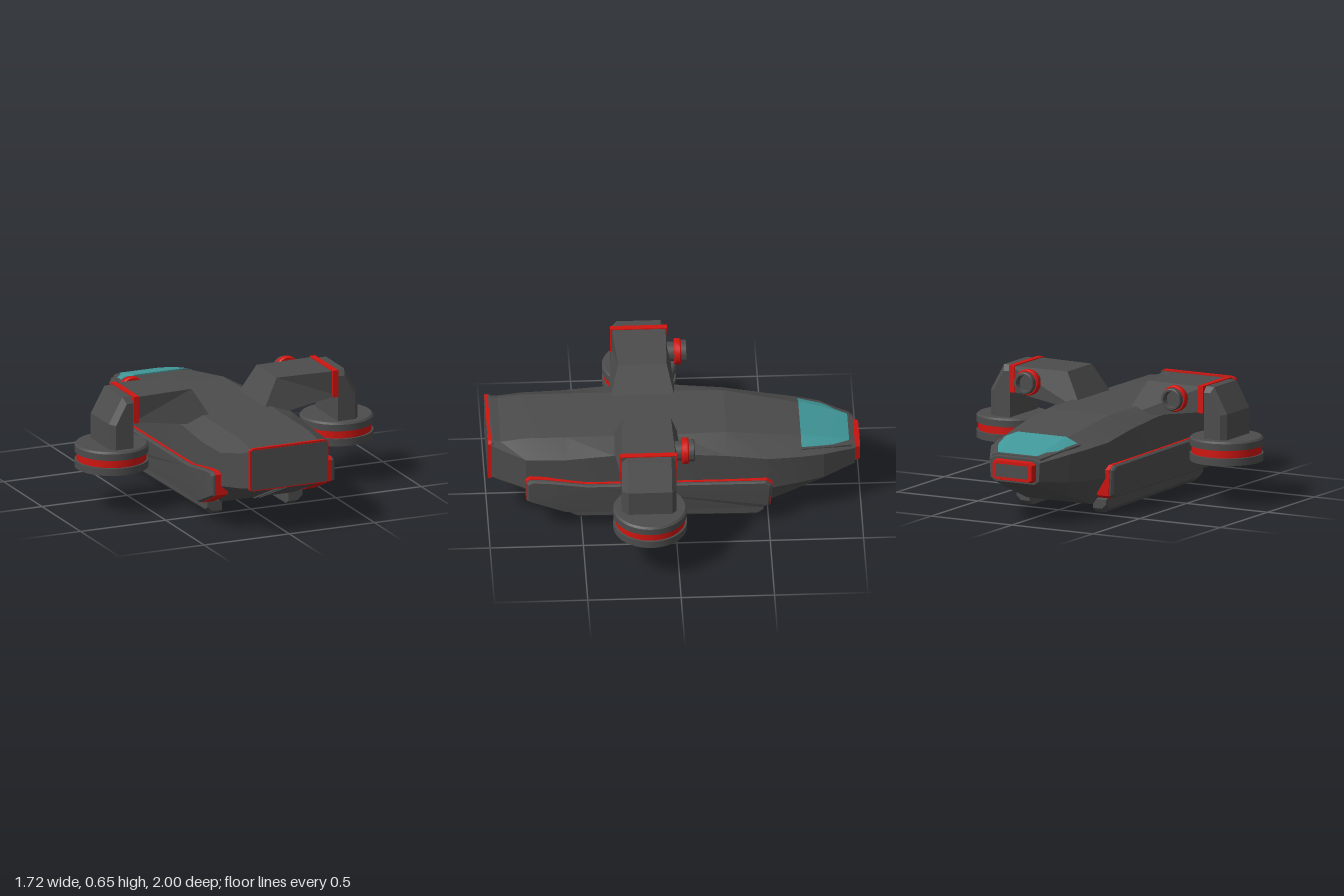
import * as THREE from 'three';
import { toCreasedNormals } from 'three/addons/utils/BufferGeometryUtils.js';

const dark = new THREE.MeshStandardMaterial({ color: 0x4c4c4c });
const red = new THREE.MeshStandardMaterial({ color: 0xd01510 });
const teal = new THREE.MeshStandardMaterial({ color: 0x41989a });

// Skin closed rings of [x, y, z] points, cap both ends, turn all faces outward
function loft(rings) {
  const tris = [], n = rings[0].length;
  for (let i = 0; i < rings.length - 1; i++) {
    for (let j = 0; j < n; j++) {
      const k = (j + 1) % n, a = rings[i], b = rings[i + 1];
      tris.push([a[j], a[k], b[k]], [a[j], b[k], b[j]]);
    }
  }
  const first = rings[0], last = rings[rings.length - 1];
  for (let j = 1; j < n - 1; j++) {
    tris.push([first[0], first[j + 1], first[j]], [last[0], last[j], last[j + 1]]);
  }
  const v = (p) => new THREE.Vector3(...p);
  const o = v(first[0]);
  let volume = 0;
  for (const [a, b, c] of tris) volume += v(a).sub(o).dot(v(b).sub(o).cross(v(c).sub(o)));
  if (volume < 0) tris.forEach((t) => t.reverse());
  const g = new THREE.BufferGeometry();
  g.setAttribute('position', new THREE.Float32BufferAttribute(tris.flat(2), 3));
  return toCreasedNormals(g, 0.15);
}

function add(parent, name, geometry, material, pos = [0, 0, 0]) {
  const m = new THREE.Mesh(geometry, material);
  m.name = name;
  m.position.set(...pos);
  parent.add(m);
  return m;
}

const box = (x0, x1, y0, y1, z0, z1) =>
  new THREE.BoxGeometry(x1 - x0, y1 - y0, z1 - z0).translate((x0 + x1) / 2, (y0 + y1) / 2, (z0 + z1) / 2);

const lathe = (pts) =>
  toCreasedNormals(new THREE.LatheGeometry(pts.map((p) => new THREE.Vector2(...p)), 40), 0.5);

// Hull stations: z, deck x y, shoulder x y, lower side x y, keel x y
const stations = [
  [0.98, 0.2, 0.49, 0.228, 0.478, 0.228, 0.275, 0.21, 0.268],
  [0.93, 0.2, 0.482, 0.25, 0.462, 0.25, 0.265, 0.22, 0.245],
  [0.8, 0.2, 0.5, 0.31, 0.435, 0.31, 0.25, 0.24, 0.19],
  [0.58, 0.2, 0.5, 0.32, 0.435, 0.32, 0.22, 0.21, 0.09],
  [0.33, 0.2, 0.5, 0.32, 0.455, 0.32, 0.2, 0.2, 0.08],
  [0, 0.2, 0.5, 0.32, 0.455, 0.315, 0.2, 0.2, 0.068],
  [-0.28, 0.19, 0.5, 0.315, 0.43, 0.31, 0.2, 0.2, 0.058],
  [-0.5, 0.17, 0.465, 0.305, 0.395, 0.3, 0.2, 0.2, 0.05],
  [-0.68, 0.15, 0.435, 0.275, 0.383, 0.265, 0.21, 0.18, 0.118],
  [-0.8, 0.14, 0.408, 0.245, 0.375, 0.235, 0.22, 0.165, 0.163],
  [-0.97, 0.11, 0.362, 0.155, 0.345, 0.15, 0.245, 0.12, 0.225],
];
// Symmetric ring from half a section
const mirrorRing = (z, half) => [
  ...half.map(([x, y]) => [x, y, z]),
  ...half.slice().reverse().map(([x, y]) => [-x, y, z]),
];
const stationRing = ([z, ...s]) => mirrorRing(z, [[s[0], s[1]], [s[2], s[3]], [s[4], s[5]], [s[6], s[7]]]);

function addFuselage(root) {
  add(root, 'hull', loft(stations.map(stationRing)), dark);

  // Stern plate with red edge
  add(root, 'sternTrim', loft([0.98, 0.998].map((z) =>
    mirrorRing(z, [[0.21, 0.5], [0.23, 0.488], [0.23, 0.268], [0.21, 0.262]]))), red);
  add(root, 'sternPlate', box(-0.222, 0.222, 0.268, 0.49, 0.97, 1), dark);
  for (const s of [-1, 1]) {
    const a = s * 0.012, b = s * 0.022;
    add(root, 'sternRib', loft([[0.96, 0.256], [0.58, 0.088]].map(([z, y]) =>
      [[a, y + 0.02, z], [b, y + 0.02, z], [b, y - 0.006, z], [a, y - 0.006, z]])), dark);
  }

  // Nose cap
  add(root, 'noseTrim', loft([
    mirrorRing(-0.965, [[0.11, 0.35], [0.132, 0.335], [0.132, 0.245], [0.11, 0.232]]),
    mirrorRing(-0.998, [[0.1, 0.343], [0.12, 0.33], [0.12, 0.252], [0.1, 0.24]]),
  ]), red);
  add(root, 'nosePlate', box(-0.1, 0.1, 0.256, 0.326, -1, -0.98), dark);

  // Canopy follows the hull's deck and shoulder slopes
  const canopy = [[-0.68, 0.225, 0.15, 0.435, 0.404], [-0.8, 0.195, 0.14, 0.408, 0.39], [-0.94, 0.138, 0.115, 0.37, 0.362]];
  const pane = (grow, lift) => loft(canopy.map(([z, xe, xd, yd, ye], i) => {
    const zz = z - (i === 2 ? grow : 0), e = xe + grow;
    const top = [[e, ye], [xd, yd], [-xd, yd], [-e, ye]];
    return [...top.map(([x, y]) => [x, y + lift, zz]), ...top.reverse().map(([x, y]) => [x, y - 0.02, zz])];
  }));
  add(root, 'canopyFrame', pane(0.012, 0.003), dark);
  add(root, 'canopy', pane(0, 0.007), teal);
}

// Side armour outline as [z, y]
const armour = [[0.48, 0.288], [0.7, 0.325], [0.78, 0.33], [0.8, 0.315], [0.8, 0.2], [0.77, 0.185], [0.6, 0.105],
  [0.56, 0.095], [-0.47, 0.085], [-0.51, 0.105], [-0.52, 0.25], [-0.49, 0.272]];
const armourRing = (x, inset) => armour.map(([z, y]) => {
  const zz = 0.14 + (z - 0.14) * (1 - inset), yy = 0.2 + (y - 0.2) * (1 - inset * 5);
  return [x + 0.012 * zz - Math.max(0, 0.14 - yy) * 0.4, yy, zz];
});

function buildSide() {
  const side = new THREE.Group();

  // Armour panel on a red backing strip
  add(side, 'armourTrim', loft([armourRing(0.26, 0), armourRing(0.332, 0)]), red);
  add(side, 'armourPanel', loft([armourRing(0.332, 0.004), armourRing(0.342, 0.006), armourRing(0.351, 0.022)]), dark);

  // Landing skid
  const skid = (z, y, t) => [[0.195, t, z], [0.195, y, z], [0.25, y, z], [0.278, y + 0.025, z], [0.278, t, z]];
  add(side, 'skid', loft([skid(0.555, 0.035, 0.09), skid(0.52, 0.015, 0.1), skid(-0.44, 0, 0.09), skid(-0.475, 0.025, 0.075)]), dark);

  // Arm: rings of top edge, then bottom edge
  const slab = (tx, ty, t0, t1, bx, by, b0, b1) => [[tx, ty, t0], [tx, ty, t1], [bx, by, b1], [bx, by, b0]];
  add(side, 'arm', loft([
    slab(0.25, 0.642, 0.02, 0.28, 0.13, 0.44, -0.03, 0.34),
    slab(0.6, 0.642, 0.01, 0.3, 0.6, 0.505, 0.01, 0.3),
  ]), dark);
  add(side, 'armBand', box(0.568, 0.6, 0.498, 0.647, 0.003, 0.307), red);

  // Elbow and strut with chamfered outer corners
  const elbow = (ox, oy, ix, iy) => {
    const mx = ox + (ix - ox) * 0.22, my = oy + (iy - oy) * 0.22;
    return [[ix, iy, 0.01], [mx, my, 0.01], [ox, oy, 0.035], [ox, oy, 0.27], [mx, my, 0.302], [ix, iy, 0.302]];
  };
  add(side, 'elbow', loft([
    elbow(0.6, 0.642, 0.6, 0.5), elbow(0.65, 0.642, 0.6, 0.5),
    elbow(0.73, 0.5, 0.6, 0.48), elbow(0.73, 0.35, 0.6, 0.35),
  ]), dark);

  // Lift disc, hollow below
  const hub = [0.66, 0, 0.15];
  add(side, 'liftDisc', lathe([[0, 0.262], [0.178, 0.262], [0.182, 0.23], [0.198, 0.23], [0.198, 0.27], [0.18, 0.272],
    [0.18, 0.312], [0.198, 0.314], [0.198, 0.35], [0.188, 0.36], [0, 0.36]]), dark, hub);
  add(side, 'liftDiscBand', lathe([[0.17, 0.271], [0.188, 0.271], [0.188, 0.313], [0.17, 0.313]]), red, hub);

  // Forward lamp
  const lampPos = [0.455, 0.575, 0];
  const lamp = [
    add(side, 'lamp', lathe([[0.052, -0.03], [0.052, 0.05], [0.06, 0.062], [0.06, 0.092], [0.055, 0.096],
      [0.045, 0.096], [0.04, 0.065], [0, 0.065]]), dark, lampPos),
    add(side, 'lampBand', lathe([[0.05, 0.028], [0.066, 0.028], [0.071, 0.034], [0.071, 0.058], [0.066, 0.065], [0.05, 0.065]]), red, lampPos),
  ];
  lamp.forEach((m) => { m.rotation.x = -Math.PI / 2; });
  return side;
}

export function createModel() {
  const root = new THREE.Group();
  root.name = 'aircraft';
  addFuselage(root);
  for (const s of [1, -1]) {
    const side = buildSide();
    side.name = s > 0 ? 'leftSide' : 'rightSide';
    side.scale.x = s;
    root.add(side);
  }
  return root;
}
